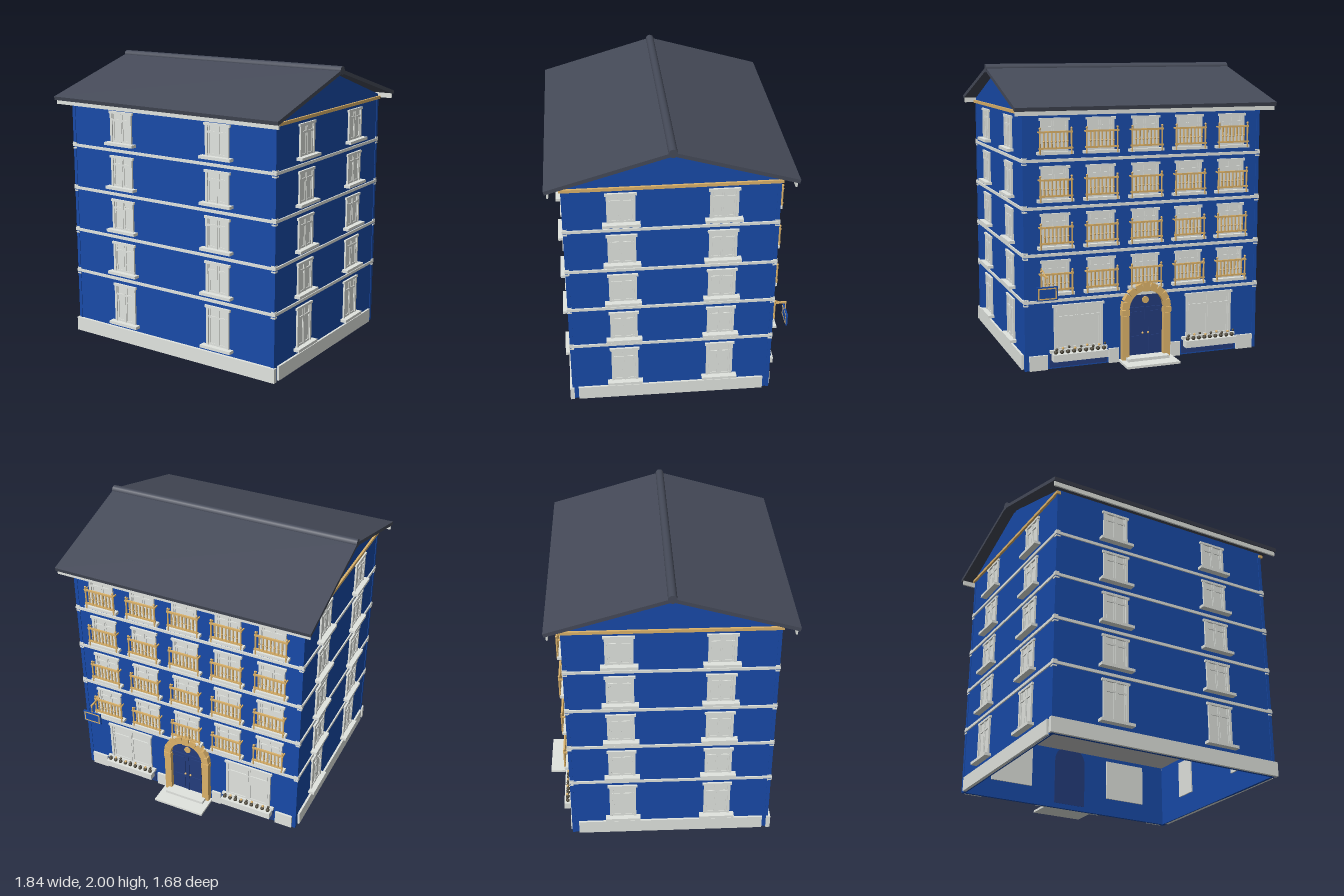
import * as THREE from 'three';

const mat = (name, color, double) => {
  const m = new THREE.MeshStandardMaterial({ color });
  m.name = name;
  if (double) m.side = THREE.DoubleSide;
  return m;
};

export function createModel() {
  const blue = mat('wall blue', 0x184aa8), light = mat('pale stone', 0xe1e4df), gold = mat('gold', 0xdcb26a);
  const navy = mat('navy', 0x243c7c), slate = mat('slate roof', 0x454a58), grey = mat('floor grey', 0xc6c6c6, true);
  const dark = mat('dark foliage', 0x4b4536);

  const root = new THREE.Group();
  root.name = 'townHouse';
  const add = (parent, name, geo, m, x = 0, y = 0, z = 0) => {
    const mesh = new THREE.Mesh(geo, m);
    mesh.name = name;
    mesh.position.set(x, y, z);
    parent.add(mesh);
    return mesh;
  };
  // box given by its min and max corners
  const box = (p, name, m, x0, x1, y0, y1, z0, z1) =>
    add(p, name, new THREE.BoxGeometry(x1 - x0, y1 - y0, z1 - z0), m, (x0 + x1) / 2, (y0 + y1) / 2, (z0 + z1) / 2);
  const group = (name, x, y, z, ry = 0) => {
    const g = new THREE.Group();
    g.name = name;
    g.position.set(x, y, z);
    g.rotation.y = ry;
    root.add(g);
    return g;
  };

  const W = 0.84, ZF = 0.735, ZB = -0.655, ZC = 0.04, T = 0.02;
  const floors = [0.15, 0.525, 0.835, 1.145, 1.455];

  // Walls, open underneath
  box(root, 'frontWall', blue, -W, W, 0, 1.73, ZF - T, ZF);
  box(root, 'backWall', blue, -W, W, 0, 1.73, ZB, ZB + T);
  const gable = new THREE.Shape([[-ZF, 0], [-ZB, 0], [-ZB, 1.728], [-ZC, 1.955], [-ZF, 1.728]].map(p => new THREE.Vector2(...p)));
  const gableGeo = new THREE.ExtrudeGeometry(gable, { depth: T, bevelEnabled: false }).rotateY(Math.PI / 2);
  add(root, 'leftGableWall', gableGeo, blue, W - T);
  add(root, 'rightGableWall', gableGeo, blue, -W);
  box(root, 'groundCeiling', grey, -W + T, W - T, 0.455, 0.475, ZB + T, ZF - T);

  // Corner strips with small caps beside each string course
  const bands = [0.465, 0.775, 1.085, 1.395];
  for (const s of [-1, 1]) for (const [z, d] of [[ZF, 1], [ZB, -1]]) {
    const cx = s * (W - 0.008), cz = z - d * 0.008;
    box(root, 'cornerStrip', blue, cx - 0.012, cx + 0.012, 0, 1.7, cz - 0.012, cz + 0.012);
    for (const y of bands) for (const dy of [-0.022, 0.016])
      box(root, 'cornerCap', light, cx - 0.015, cx + 0.015, y + dy - 0.005, y + dy + 0.005, cz - 0.015, cz + 0.015);
  }

  // String courses
  for (const y of bands) {
    const o = 0.009;
    for (const s of [-1, 1]) box(root, 'sideBand', light, s * W - o, s * W + o, y - 0.01, y + 0.01, ZB - o, ZF + o);
    box(root, 'frontBand', light, -W, W, y - 0.01, y + 0.01, ZF - o, ZF + o);
    box(root, 'backBand', light, -W, W, y - 0.01, y + 0.01, ZB - o, ZB + o);
  }

  // Plinth
  box(root, 'frontPlinth', light, -0.855, 0.855, 0, 0.1, ZF - 0.01, 0.755);
  for (const s of [-1, 1]) {
    box(root, 'sidePlinth', light, s * 0.8425 - 0.0125, s * 0.8425 + 0.0125, 0, 0.1, -0.61, 0.695);
    for (const [a, b] of [[0.19, 0.26], [0.69, 0.815]])
      box(root, 'backPlinth', light, Math.min(s * a, s * b), Math.max(s * a, s * b), 0, 0.1, ZB - 0.015, ZB);
    box(root, 'gableCornice', gold, s * W - 0.015, s * W + 0.015, 1.692, 1.713, ZB - 0.015, ZF + 0.015);
  }

  // Roof: two slabs, ridge roll, eaves boards
  const slope = [[ZC, 1.978], [0.842, 1.745], [0.836, 1.72], [ZC, 1.952], [-0.756, 1.72], [-0.762, 1.745]];
  const roofGeo = new THREE.ExtrudeGeometry(new THREE.Shape(slope.map(([z, y]) => new THREE.Vector2(-z, y))),
    { depth: 1.834, bevelEnabled: false }).rotateY(Math.PI / 2);
  add(root, 'roof', roofGeo, slate, -0.918);
  add(root, 'ridge', new THREE.CylinderGeometry(0.029, 0.029, 1.836, 16).rotateZ(Math.PI / 2), slate, 0, 1.971, ZC);
  for (const z of [0.817, -0.737]) box(root, 'eavesBoard', light, -0.91, 0.91, 1.692, 1.732, z - 0.006, z + 0.006);

  // Window facing +z, origin at the middle of its foot
  const makeWindow = (g, w, h, sillOut) => {
    const a = w / 2;
    box(g, 'glass', light, -a + 0.01, a - 0.01, 0, h - 0.01, -0.03, 0.003);
    for (const s of [-1, 1]) {
      box(g, 'jamb', light, s * (a - 0.009) - 0.009, s * (a - 0.009) + 0.009, 0, h - 0.015, 0, 0.013);
      box(g, 'casementStile', light, s * 0.011 - 0.006, s * 0.011 + 0.006, 0, h - 0.015, 0, 0.008);
      box(g, 'outerStile', light, s * (a - 0.026) - 0.005, s * (a - 0.026) + 0.005, 0, h - 0.015, 0, 0.008);
    }
    box(g, 'mullion', light, -0.005, 0.005, 0, h - 0.015, 0, 0.011);
    box(g, 'header', light, -a - 0.01, a + 0.01, h - 0.017, h, 0, 0.015);
    const ty = h * 0.72;
    box(g, 'transom', light, -a + 0.015, a - 0.015, ty - 0.007, ty + 0.007, 0, 0.01);
    box(g, 'bottomRail', light, -a + 0.015, a - 0.015, 0, 0.014, 0, 0.008);
    box(g, 'sill', light, -a - 0.03, a + 0.03, -0.02, 0, 0, sillOut);
  };
  floors.forEach((y, i) => {
    const h = i ? 0.215 : 0.28;
    for (const x of [-0.4, 0.4]) makeWindow(group('frontWindow', x, y, ZF), 0.185, h, 0.045);
    for (const s of [-1, 1]) for (const z of [0.365, -0.295])
      makeWindow(group('sideWindow', s * W, y, z, s * Math.PI / 2), 0.185, h, 0.045);
  });

  // Back windows with gold balconettes
  const ball = new THREE.SphereGeometry(0.008, 10, 8);
  const makeRailing = g => {
    const z = 0.036;
    for (const y of [0.022, 0.127]) box(g, 'rail', gold, -0.115, 0.115, y - 0.006, y + 0.006, z - 0.006, z + 0.006);
    for (let i = 0; i < 9; i++) {
      const x = -0.106 + i * 0.0265, end = i % 8 === 0;
      add(g, 'baluster', new THREE.CylinderGeometry(0.006, 0.006, end ? 0.165 : 0.11, 8), gold, x, end ? 0.065 : 0.075, z);
      if (end) add(g, 'knob', ball, gold, x, 0.15, z);
      else add(g, 'balusterBulge', ball, gold, x, 0.065, z);
    }
    for (const s of [-1, 1])
      box(g, 'railReturn', gold, s * 0.11 - 0.004, s * 0.11 + 0.004, 0.122, 0.131, 0, z);
  };
  for (const y of floors.slice(1)) for (let i = -2; i <= 2; i++) {
    const g = group('balconyWindow', i * 0.315, y, ZB, Math.PI);
    makeWindow(g, 0.185, 0.215, 0.038);
    makeRailing(g);
  }

  // Shop windows with planters
  for (const s of [-1, 1]) {
    const g = group('shopWindow', s * 0.475, 0.13, ZB, Math.PI);
    makeWindow(g, 0.34, 0.305, 0.02);
    box(g, 'lowerPanel', navy, -0.2, 0.2, -0.12, -0.03, 0, 0.006);
    box(g, 'planter', light, -0.19, 0.19, -0.068, -0.02, 0.012, 0.065);
    for (let i = 0; i < 9; i++) {
      const x = -0.168 + i * 0.042;
      add(g, 'leaves', new THREE.IcosahedronGeometry(0.014, 1), dark, x, -0.008, 0.04);
      add(g, 'flower', new THREE.IcosahedronGeometry(0.009, 1), i % 2 ? gold : dark, x + 0.006, 0.012 + (i % 3) * 0.006, 0.044);
    }
  }

  // Entrance: arched double door, stone surround, steps
  const door = group('entrance', 0, 0, ZB, Math.PI);
  const R = 0.125, spring = 0.365;
  const leaf = new THREE.Shape();
  leaf.moveTo(-R, 0.035).lineTo(R, 0.035).lineTo(R, spring).absarc(0, spring, R, 0, Math.PI, false);
  add(door, 'doorPanel', new THREE.ExtrudeGeometry(leaf, { depth: 0.03, bevelEnabled: false, curveSegments: 20 }), navy, 0, 0, -0.022);
  box(door, 'doorTransom', navy, -R, R, spring - 0.01, spring + 0.006, 0, 0.016);
  box(door, 'doorMeeting', navy, -0.007, 0.007, 0.035, spring, 0, 0.014);
  for (const s of [-1, 1]) {
    for (const [y0, y1] of [[0.06, 0.17], [0.2, 0.34]])
      box(door, 'doorFielding', navy, s * 0.065 - 0.04, s * 0.065 + 0.04, y0, y1, 0, 0.014);
    add(door, 'doorKnob', ball, gold, s * 0.02, 0.19, 0.018);
    box(door, 'jamb', gold, s * 0.15 - 0.025, s * 0.15 + 0.025, 0.01, 0.32, 0, 0.042);
    box(door, 'impostStone', gold, s * 0.15 - 0.028, s * 0.15 + 0.028, 0.324, 0.364, 0, 0.047);
  }
  for (let i = 0; i < 9; i++) {
    const a = Math.PI * (i + 0.5) / 9, key = i === 4;
    const v = add(door, key ? 'keystone' : 'archStone', new THREE.BoxGeometry(key ? 0.06 : 0.052, 0.05, key ? 0.05 : 0.044), gold,
      Math.cos(a) * 0.15, spring + Math.sin(a) * 0.15, 0.022);
    v.rotation.z = a;
  }
  add(door, 'roundel', new THREE.CylinderGeometry(0.024, 0.024, 0.01, 20).rotateX(Math.PI / 2), gold, 0, spring + 0.055, 0.015);
  box(door, 'upperStep', light, -0.15, 0.15, 0.015, 0.036, 0, 0.09);
  box(door, 'lowerStep', light, -0.19, 0.19, 0, 0.016, 0, 0.185);

  // Hanging sign on a bracket
  const sign = group('hangingSign', 0.72, 0, ZB, Math.PI);
  box(sign, 'signArm', gold, -0.006, 0.006, 0.643, 0.655, 0, 0.12);
  box(sign, 'signWallPlate', gold, -0.012, 0.012, 0.61, 0.69, 0, 0.008);
  const brace = new THREE.LineCurve3(new THREE.Vector3(0, 0.68, 0.004), new THREE.Vector3(0, 0.652, 0.08));
  add(sign, 'signBrace', new THREE.TubeGeometry(brace, 1, 0.004, 8), gold);
  box(sign, 'signHanger', gold, -0.003, 0.003, 0.59, 0.645, 0.112, 0.118);
  box(sign, 'signBoard', blue, -0.07, 0.07, 0.5, 0.59, 0.109, 0.121);
  for (const z of [0.108, 0.122]) {
    for (const s of [-1, 1]) {
      box(sign, 'signBorder', gold, -0.062, 0.062, 0.545 + s * 0.034 - 0.004, 0.545 + s * 0.034 + 0.004, z - 0.001, z + 0.001);
      box(sign, 'signBorder', gold, s * 0.058 - 0.004, s * 0.058 + 0.004, 0.515, 0.575, z - 0.001, z + 0.001);
    }
  }
  return root;
}
